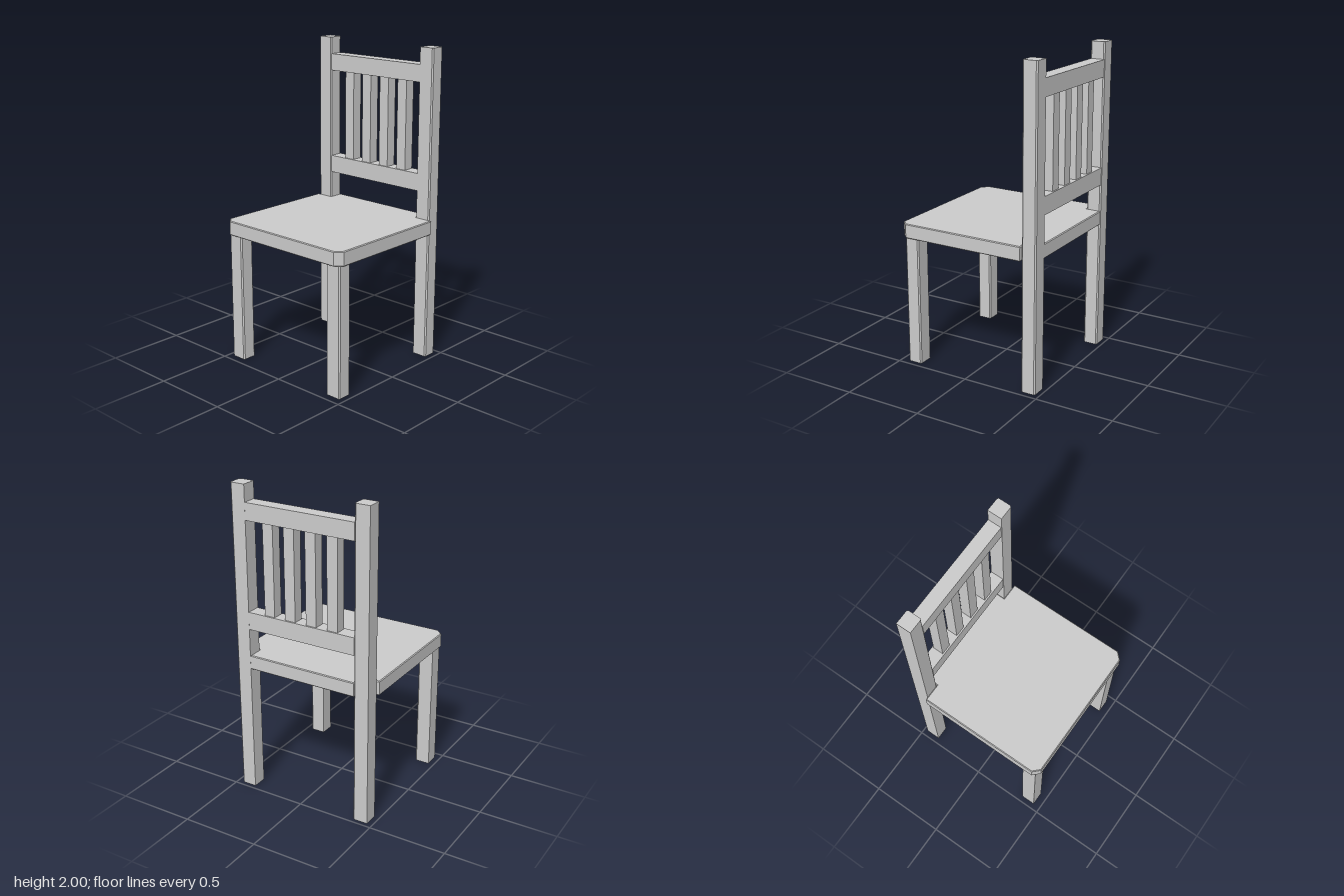
import * as THREE from 'three';

const material = new THREE.MeshStandardMaterial({ color: 0xcccccc, flatShading: true });

export function createModel() {
  const chair = new THREE.Group();
  chair.name = 'chair';

  const add = (name, geometry, x = 0, y = 0, z = 0) => {
    const mesh = new THREE.Mesh(geometry, material);
    mesh.name = name;
    mesh.position.set(x, y, z);
    chair.add(mesh);
  };

  // Extrudes a plan outline of [x, z] points upwards, with softened rims
  const slab = (points, height, bevel = 0) => {
    const shape = new THREE.Shape(points.map(([x, z]) => new THREE.Vector2(x, -z)));
    const geometry = new THREE.ExtrudeGeometry(shape, {
      depth: height - 2 * bevel, bevelEnabled: bevel > 0, bevelSegments: 1,
      bevelSize: bevel, bevelThickness: bevel, bevelOffset: -bevel,
    });
    return geometry.rotateX(-Math.PI / 2).translate(0, bevel, 0);
  };

  // Square timber with its two +z edges chamfered
  const post = (width, depth, height) => {
    const w = width / 2, d = depth / 2, c = 0.008;
    return slab([[-w, -d], [-w, d - c], [c - w, d], [w - c, d], [w, d - c], [w, -d]], height);
  };

  // Seat board: clipped front corners, tongue between the back posts
  const half = [[-0.475, 0.44], [-0.432, 0.483], [0.377, 0.483], [0.377, 0.366], [0.472, 0.366]];
  const outline = [...half, ...half.map(([x, z]) => [x, -z]).reverse()];
  add('seat', slab(outline, 0.092, 0.005), 0, 0.835);

  // Back posts and front legs
  for (const [side, s] of [['left', -1], ['right', 1]]) {
    add(`${side}BackPost`, post(0.095, 0.098, 2), 0.425, 0, s * 0.415);
    add(`${side}FrontLeg`, post(0.095, 0.098, 0.838), -0.402, 0, s * 0.415);
  }

  // Back rails
  for (const [name, bottom, top] of [['lowerRail', 1.1, 1.212], ['topRail', 1.785, 1.893]]) {
    add(name, new THREE.BoxGeometry(0.09, top - bottom, 0.734), 0.427, (bottom + top) / 2);
  }

  // Upright slats between the rails
  for (let i = 0; i < 4; i++) {
    add(`backSlat${i + 1}`, new THREE.BoxGeometry(0.07, 0.58, 0.07), 0.427, 1.4985, 0.219 - i * 0.145);
  }

  return chair;
}
